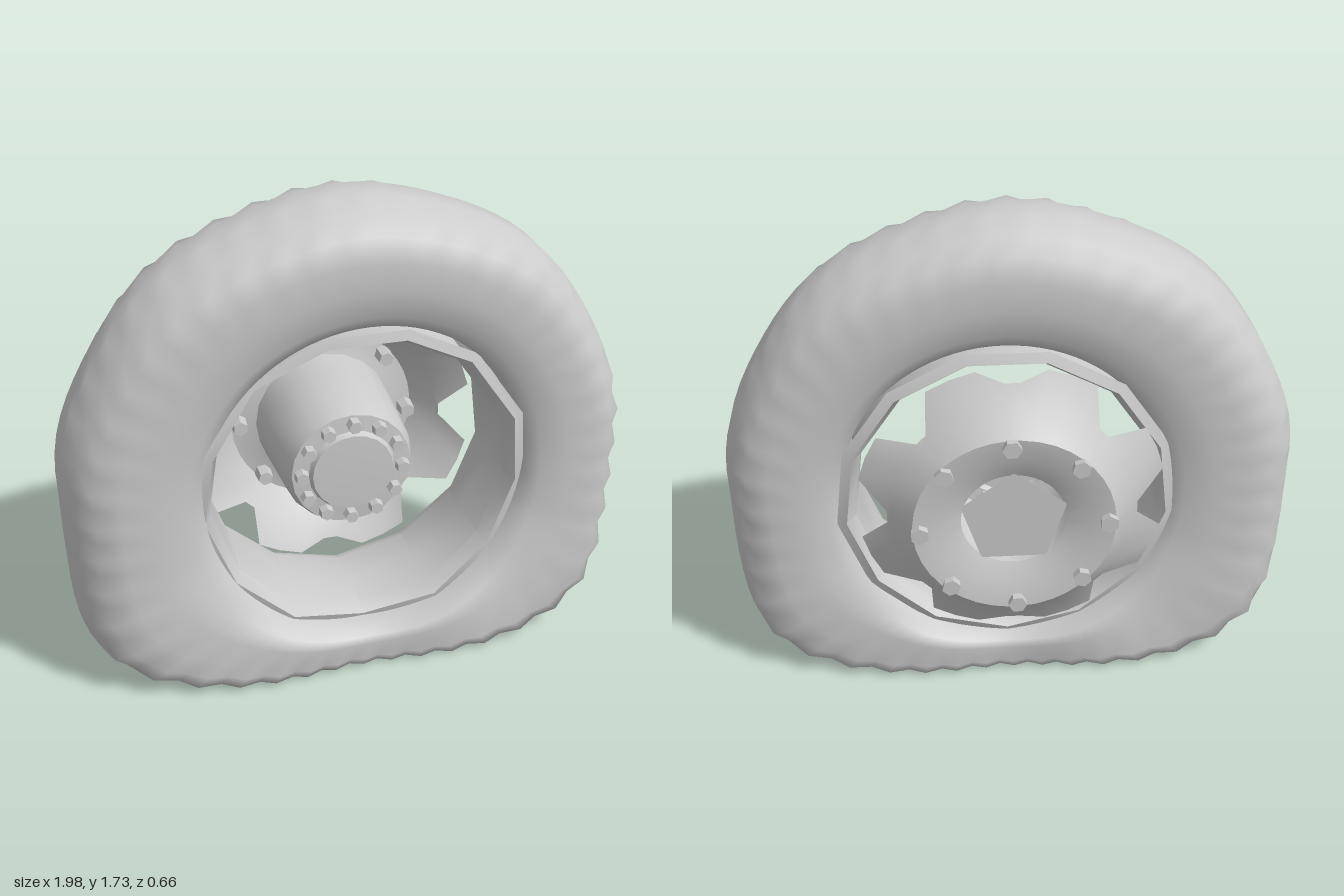
import * as THREE from 'three';
import { toCreasedNormals } from 'three/addons/utils/BufferGeometryUtils.js';

const TAU = Math.PI * 2;
const HUB = [0.01, 0.735];
const material = new THREE.MeshStandardMaterial({ color: 0xcccccc, side: THREE.DoubleSide });

// Grid of points: closed around the wheel (i), open across the section (j).
function loft(rounds, across, point) {
  const pos = [], index = [];
  for (let i = 0; i < rounds; i++) {
    for (let j = 0; j < across; j++) pos.push(...point(i, j));
  }
  for (let i = 0; i < rounds; i++) {
    for (let j = 0; j < across - 1; j++) {
      const a = i * across + j, b = ((i + 1) % rounds) * across + j;
      index.push(a, a + 1, b, a + 1, b + 1, b);
    }
  }
  const g = new THREE.BufferGeometry();
  g.setAttribute('position', new THREE.Float32BufferAttribute(pos, 3));
  g.setIndex(index);
  g.computeVertexNormals();
  return g;
}

function part(name, geometry, parent) {
  const m = new THREE.Mesh(geometry, material);
  m.name = name;
  parent.add(m);
  return m;
}

// Profile of [radius, z] points turned about the axle.
function turned(points, sides) {
  const g = new THREE.LatheGeometry(points.map(p => new THREE.Vector2(p[0], p[1])), sides);
  return g.rotateX(Math.PI / 2);
}

// Flat tyre: round above the axle, squashed to a rounded box below it.
function tyreGeometry() {
  // [fraction from bead to tread, z, is shoulder]
  const section = [
    [-0.03, 0.17, 0], [0, 0.22, 0], [0.12, 0.26, 0], [0.35, 0.275, 0], [0.6, 0.28, 0], [0.8, 0.265, 1],
    [0.93, 0.2, 1], [1, 0.1, 0], [1, 0.04, 0], [1, -0.02, 0],
    [0.93, -0.12, 1], [0.8, -0.175, 1], [0.6, -0.19, 0], [0.35, -0.19, 0], [0.12, -0.175, 0], [0, -0.14, 0],
    [-0.03, -0.1, 0],
  ];
  const rounds = 88;
  return loft(rounds, section.length, (i, j) => {
    const t = (i / rounds) * TAU, c = Math.cos(t), s = Math.sin(t);
    const n = s < 0 ? 4.6 : 2, b = s < 0 ? 0.74 : 0.985;
    let R = Math.pow(Math.pow(Math.abs(c) / 0.99, n) + Math.pow(Math.abs(s) / b, n), -1 / n);
    if (s > 0) R += 0.006 * Math.sin(9 * t);
    let [f, z, shoulder] = section[j];
    const low = THREE.MathUtils.smoothstep(-s, 0.3, 0.85);
    // Sidewalls spread and the shoulders square off against the ground
    const side = z > 0.045 ? 1 : -1;
    if (f > 0.1 && f < 1) {
      const wide = side > 0 ? 0.325 : -0.23;
      z = THREE.MathUtils.lerp(z, wide - side * 0.012 * (1 + Math.sin(7 * t)), low);
    } else if (f === 1) {
      z = 0.045 + (z - 0.045) * (1 + low * 2);
    }
    // Tread notches cut into the shoulders
    if (shoulder && i % 2) {
      f -= f > 0.9 ? 0.035 : 0.01;
      z -= side * 0.012;
    }
    const bead = 0.57;
    const x0 = 0.035 + bead * c, y0 = 0.75 + bead * 1.03 * s;
    return [x0 + (R * c - x0) * f, y0 + (0.75 + R * s - y0) * f, z];
  });
}

// Dished wheel disc whose outer edge has eight notches.
function discGeometry() {
  const rings = [[0.18, -0.265], [0.26, -0.3], [0.345, -0.31], [0.42, -0.23], [1, -0.165]];
  const steps = [-13, -3, 3, 13, 22.5];
  return loft(40, rings.length, (i, j) => {
    const k = Math.floor(i / 5), step = i % 5;
    const t = THREE.MathUtils.degToRad(k * 45 + steps[step]);
    const notch = step === 1 || step === 2;
    const slit = k === 2 || k === 6;
    let [r, z] = rings[j];
    if (j === 4) {
      r = notch ? (slit ? 0.49 : 0.43) : 0.535;
      if (notch) z = slit ? -0.19 : -0.22;
    }
    return [r * Math.cos(t), r * Math.sin(t), z];
  });
}

// Ring of six-sided bolts lying along the axle.
function boltRing(name, count, ringRadius, size, z0, z1, parent) {
  const group = new THREE.Group();
  group.name = name;
  parent.add(group);
  const g = new THREE.CylinderGeometry(size * 0.85, size, z1 - z0, 6).toNonIndexed();
  g.rotateX(Math.PI / 2);
  g.computeVertexNormals();
  for (let i = 0; i < count; i++) {
    const t = (i / count) * TAU - 0.03;
    const bolt = part('bolt', g, group);
    bolt.position.set(ringRadius * Math.cos(t), ringRadius * Math.sin(t), (z0 + z1) / 2);
    bolt.rotation.z = t;
  }
}

export function createModel() {
  const model = new THREE.Group();
  model.name = 'flatWheel';
  part('tyre', tyreGeometry(), model);

  const wheel = new THREE.Group();
  wheel.name = 'wheel';
  wheel.position.set(HUB[0], HUB[1], 0);
  model.add(wheel);

  // Rim barrel with a dented front lip and a rear lip
  const rim = turned([
    [0.595, 0.215], [0.56, 0.225], [0.535, 0.17], [0.525, 0.02], [0.53, -0.11], [0.56, -0.165], [0.595, -0.15],
  ], 13);
  const p = rim.attributes.position;
  for (let i = 0; i < p.count; i++) {
    const t = Math.atan2(p.getY(i), p.getX(i));
    if (p.getZ(i) > 0.1) p.setZ(i, p.getZ(i) + 0.02 * Math.sin(5 * t));
    p.setX(i, p.getX(i) + 0.015);
  }
  part('rim', toCreasedNormals(rim, 0.6), wheel);

  part('disc', toCreasedNormals(discGeometry(), 0.7), wheel);

  // Five-sided plate closing the back of the hub
  const plate = new THREE.CircleGeometry(0.19, 5);
  plate.rotateZ(Math.PI / 2).rotateY(Math.PI).translate(0, 0, -0.268);
  part('backPlate', plate, wheel);

  // Hub drum with a raised cap on its face
  const hub = turned([
    [0.255, -0.29], [0.25, -0.18], [0.235, 0.05], [0.215, 0.1], [0.155, 0.105], [0.145, 0.125], [0, 0.13],
  ], 20);
  part('hub', toCreasedNormals(hub, 0.6), wheel);

  boltRing('hubBolts', 12, 0.182, 0.028, 0.09, 0.135, wheel);
  boltRing('wheelBolts', 8, 0.32, 0.033, -0.333, -0.25, wheel);
  return model;
}
